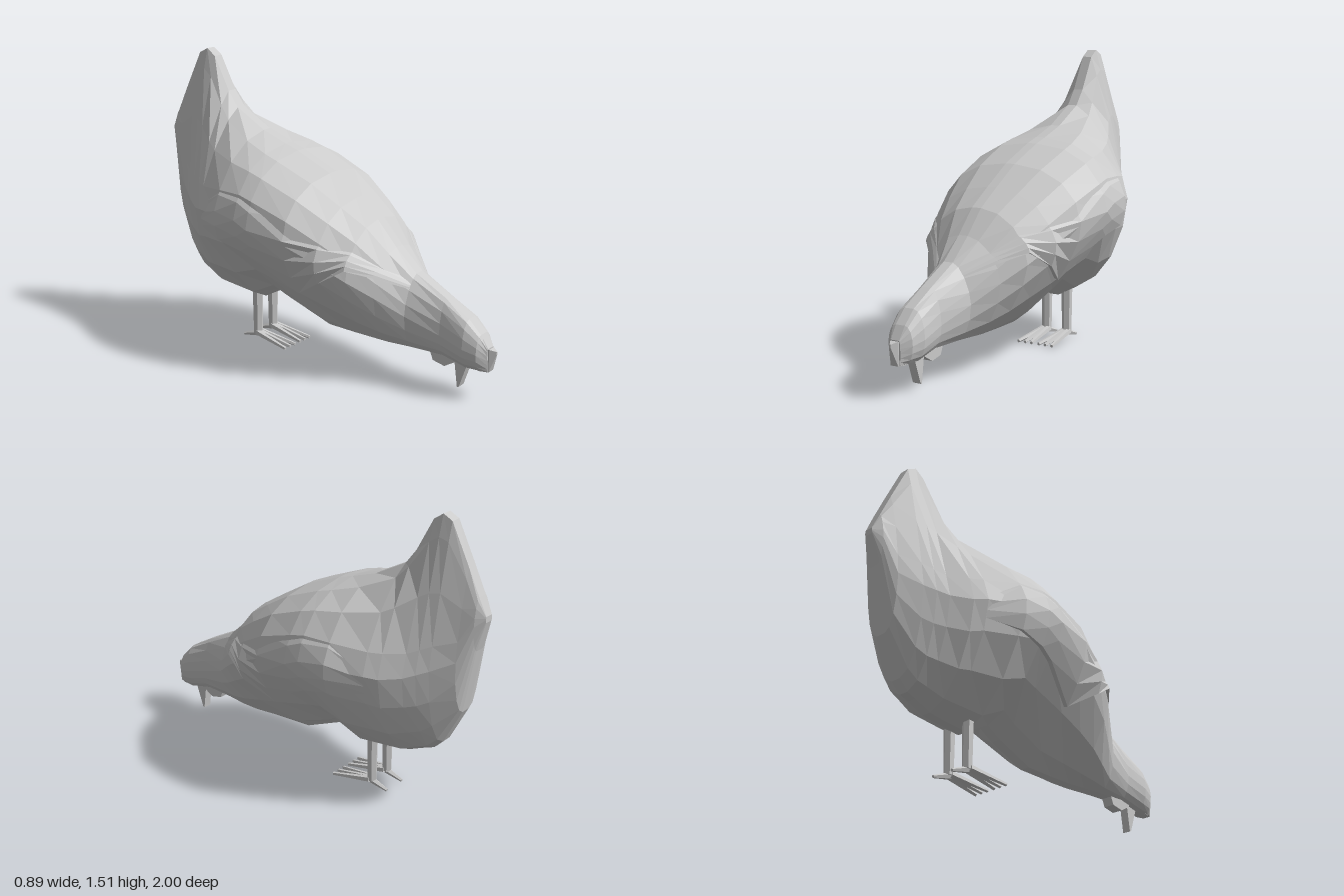
import * as THREE from 'three';

const material = new THREE.MeshStandardMaterial({ color: 0xcccccc, flatShading: true, side: THREE.DoubleSide });

// Body sections: z, top, bottom, half width, height of widest point, upper and lower roundness
const SECTIONS = [
  [0.965, 0.268, 0.15, 0.03, 0.21, 2, 2],
  [0.925, 0.33, 0.15, 0.07, 0.24, 2, 2],
  [0.86, 0.395, 0.15, 0.09, 0.26, 2, 2],
  [0.73, 0.47, 0.18, 0.085, 0.3, 1.8, 2],
  [0.56, 0.56, 0.18, 0.13, 0.37, 1.6, 2],
  [0.44, 0.67, 0.175, 0.215, 0.46, 1.75, 1.75],
  [0.33, 0.79, 0.17, 0.295, 0.54, 1.9, 1.5],
  [0.2, 0.875, 0.172, 0.355, 0.62, 2, 1.35],
  [0.04, 0.975, 0.178, 0.41, 0.7, 2.1, 1.25],
  [-0.16, 1.06, 0.265, 0.425, 0.75, 2.2, 1.35],
  [-0.24, 1.085, 0.315, 0.42, 0.77, 2.15, 1.5],
  [-0.38, 1.135, 0.24, 0.405, 0.77, 1.8, 1.5],
  [-0.55, 1.23, 0.26, 0.34, 0.76, 1.35, 1.6],
  [-0.61, 1.31, 0.27, 0.305, 0.75, 1.25, 1.7],
  [-0.7, 1.48, 0.31, 0.24, 0.76, 1.05, 1.8],
  [-0.75, 1.515, 0.33, 0.205, 0.78, 1.05, 1.9],
  [-0.8, 1.49, 0.38, 0.17, 0.8, 1.1, 2],
  [-0.9, 1.29, 0.57, 0.105, 0.85, 1.3, 2],
  [-0.96, 1.165, 0.9, 0.06, 1.03, 1.6, 2],
  [-1, 1.08, 1.05, 0.025, 1.065, 2, 2],
];

// Half width of the flat strip along the back and belly
const ridgeOf = (w) => Math.min(0.026, w * 0.8);

// Half width of a section at a given height
function sectionX([, top, bottom, w, wide, up, low], y) {
  const p = y > wide ? up : low;
  const t = Math.min(1, Math.abs(y - wide) / (y > wide ? top - wide : wide - bottom));
  return ridgeOf(w) + (w - ridgeOf(w)) * Math.pow(1 - Math.pow(t, p), 1 / p);
}

// Surface through rows of points; closed rows become a capped tube
function surface(rows, closed, flip = false) {
  const n = rows[0].length;
  const index = [];
  const tri = (a, b, c) => index.push(a, flip ? c : b, flip ? b : c);
  for (let i = 0; i < rows.length - 1; i++) {
    for (let j = 0; j < (closed ? n : n - 1); j++) {
      const k = (j + 1) % n;
      const a = i * n + j, b = i * n + k, c = a + n, d = b + n;
      tri(a, c, b);
      tri(b, c, d);
    }
  }
  if (closed) {
    const last = (rows.length - 1) * n;
    for (let j = 1; j < n - 1; j++) {
      tri(0, j, j + 1);
      tri(last, last + j + 1, last + j);
    }
  }
  const geometry = new THREE.BufferGeometry();
  geometry.setAttribute('position', new THREE.Float32BufferAttribute(rows.flat(2), 3));
  geometry.setIndex(index);
  geometry.computeVertexNormals();
  return geometry;
}

function bodyRing([z, top, bottom, w, wide, up, low]) {
  const steps = 8, half = [];
  for (let j = 0; j <= steps; j++) {
    const a = (j / steps - 0.5) * Math.PI;
    const p = a > 0 ? up : low;
    const c = Math.pow(Math.max(0, Math.cos(a)), 2 / p);
    const s = Math.pow(Math.abs(Math.sin(a)), 2 / p);
    const y = a > 0 ? wide + (top - wide) * s : wide - (wide - bottom) * s;
    half.push([ridgeOf(w) + (w - ridgeOf(w)) * c, y, z]);
  }
  return half.concat(half.map(([x, y]) => [-x, y, z]).reverse());
}

// Folded wing: z of a body section, lower edge, upper edge, flare of the lower edge
const WING = [
  [0.56, 0.5, 0.53, 0.004],
  [0.44, 0.555, 0.61, 0.018],
  [0.33, 0.6, 0.69, 0.022],
  [0.2, 0.52, 0.75, 0.024],
  [0.04, 0.42, 0.82, 0.024],
  [-0.16, 0.57, 0.92, 0.024],
  [-0.24, 0.61, 0.95, 0.024],
  [-0.38, 0.645, 0.95, 0.02],
  [-0.55, 0.67, 0.82, -0.004],
];

function wingGeometry(side) {
  const rows = WING.map(([z, low, high, flare]) => {
    const section = SECTIONS.find((s) => s[0] === z);
    // The first point tucks the lower edge under, the last sinks into the back
    const row = [[side * (sectionX(section, low) - 0.025), low + 0.01, z]];
    for (let j = 0; j <= 4; j++) {
      const t = j / 4, y = THREE.MathUtils.lerp(low, high, t);
      row.push([side * (sectionX(section, y) + flare * (1 - t ** 3) - 0.02 * t ** 3), y, z]);
    }
    return row;
  });
  return surface(rows, false, side < 0);
}

// Flat outline in the z-y plane, given a width across x
function plate(points, width) {
  const shape = new THREE.Shape(points.map(([z, y]) => new THREE.Vector2(z, y)));
  return new THREE.ExtrudeGeometry(shape, { depth: width, bevelEnabled: false })
    .translate(0, 0, -width / 2).rotateY(-Math.PI / 2);
}

// Tapered rod between two points
function rod(from, to, r0, r1, sides) {
  const a = new THREE.Vector3(...from), b = new THREE.Vector3(...to);
  const dir = b.clone().sub(a);
  const geometry = new THREE.CylinderGeometry(r1, r0, dir.length(), sides);
  geometry.applyQuaternion(new THREE.Quaternion().setFromUnitVectors(new THREE.Vector3(0, 1, 0), dir.normalize()));
  return geometry.translate(...a.add(b).multiplyScalar(0.5).toArray());
}

export function createModel() {
  const model = new THREE.Group();
  model.name = 'peckingHen';
  const add = (name, geometry, parent = model) => {
    const mesh = new THREE.Mesh(geometry, material);
    mesh.name = name;
    parent.add(mesh);
  };

  // Head, neck, body and raised tail in one skin
  add('body', surface(SECTIONS.map(bodyRing), true));

  // Comb on the crown, which points forward as the head bends down
  const combRing = (z, x, low, high) => [[x, low, z], [x, high, z], [-x, high, z], [-x, low, z]];
  add('comb', surface([
    combRing(0.92, 0.035, 0.15, 0.25),
    combRing(0.97, 0.022, 0.15, 0.265),
    combRing(1, 0.003, 0.24, 0.255),
  ], true));

  // Beak and wattle under the head
  add('beak', plate([[0.78, 0.18], [0.8, 0.03], [0.81, 0.035], [0.86, 0.18]], 0.045));
  add('wattle', plate([[0.64, 0.2], [0.665, 0.14], [0.73, 0.125], [0.79, 0.16], [0.8, 0.2]], 0.06));

  for (const side of [1, -1]) {
    const label = side > 0 ? 'left' : 'right';
    add(label + 'Wing', wingGeometry(side));

    // Leg with three front toes and one back toe
    const leg = new THREE.Group();
    leg.name = label + 'Leg';
    model.add(leg);
    const x = side * 0.062;
    add('shank', rod([x, 0.04, -0.405], [x, 0.3, -0.405], 0.025, 0.029, 6), leg);
    for (const spread of [-0.04, 0, 0.04]) {
      add('frontToe', rod([x + spread * 0.35, 0.045, -0.4], [x + spread, 0.011, -0.19], 0.017, 0.009, 5), leg);
    }
    add('backToe', rod([x, 0.04, -0.4], [x, 0.012, -0.5], 0.018, 0.008, 5), leg);
  }
  return model;
}
